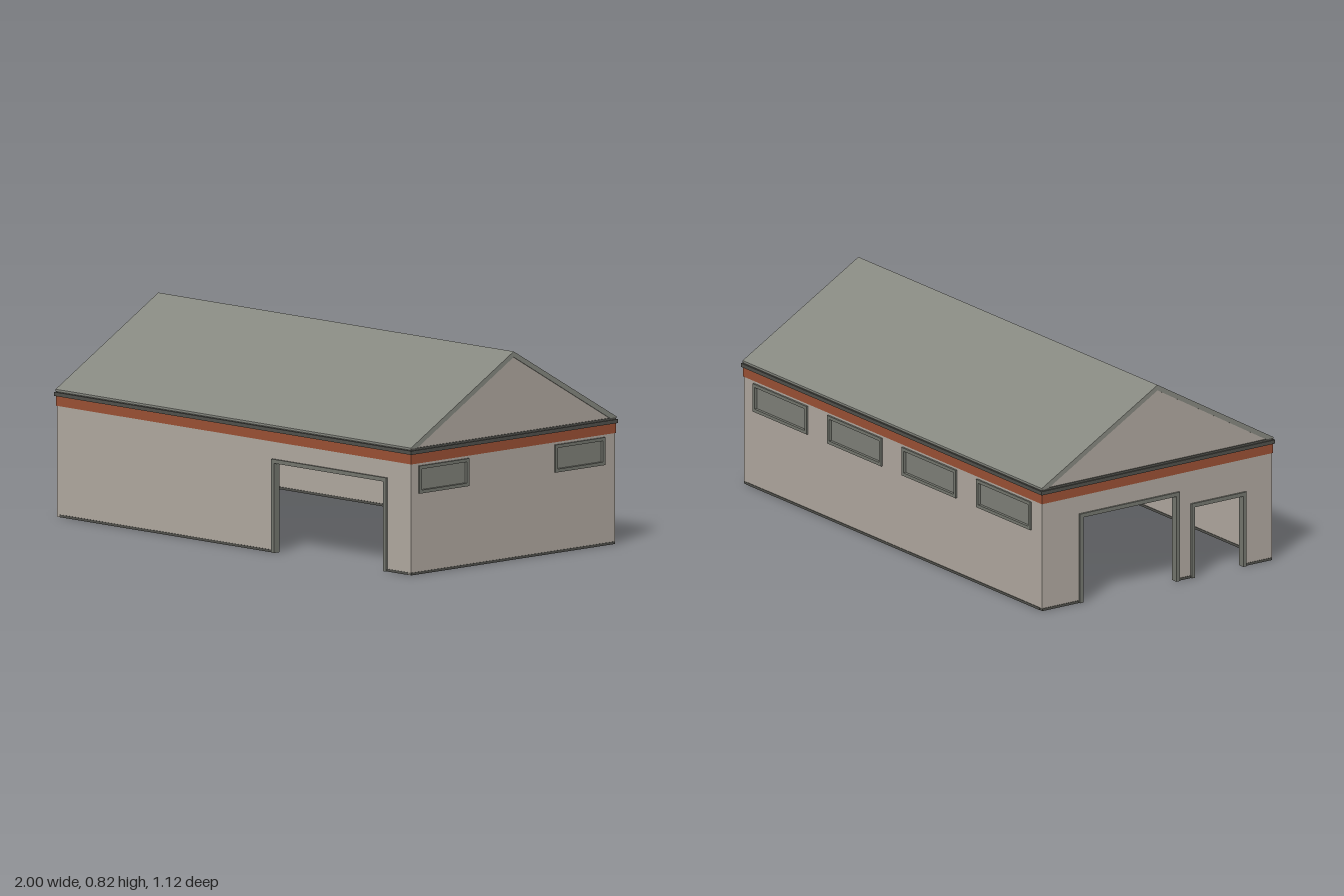
import * as THREE from 'three';

const mat = (name, color) => {
  const m = new THREE.MeshStandardMaterial({ color });
  m.name = name;
  return m;
};

const HX = 0.99, HZ = 0.55, T = 0.014;   // half length, half depth, wall thickness
const EAVE = 0.5, RIDGE = 0.82, ROOF = 0.022;

export function createModel() {
  const wallMat = mat('wall plaster', 0xb0a89f);
  const roofMat = mat('roof grey', 0x868880);
  const bandMat = mat('rust band', 0x9a5034);
  const trimMat = mat('dark trim', 0x50504b);
  const frameMat = mat('frame grey', 0x74766e);
  const paneMat = mat('window pane', 0x7e8078);

  const model = new THREE.Group();
  model.name = 'hall';

  const add = (parent, name, geometry, material, x = 0, y = 0, z = 0) => {
    const mesh = new THREE.Mesh(geometry, material);
    mesh.name = name;
    mesh.position.set(x, y, z);
    parent.add(mesh);
    return mesh;
  };
  const extrude = (shape, depth) =>
    new THREE.ExtrudeGeometry(shape, { depth, bevelEnabled: false });
  const polygon = (pts) => new THREE.Shape(pts.map(([x, y]) => new THREE.Vector2(x, y)));
  const rect = (u0, u1, y0, y1) => [[u0, y0], [u1, y0], [u1, y1], [u0, y1]];

  // One wall with doors cut from its foot and framed windows; outer face at local z = 0
  function buildSide(name, half, gable, doors, windows) {
    const side = new THREE.Group();
    side.name = name;
    const outline = [[-half, 0]];
    for (const [u0, u1, h] of doors) outline.push([u0, 0], [u0, h], [u1, h], [u1, 0]);
    outline.push([half, 0], [half, EAVE - ROOF / 2]);
    if (gable) outline.push([0, RIDGE - ROOF]);
    outline.push([-half, EAVE - ROOF / 2]);
    const shape = polygon(outline);
    for (const [u0, u1, y0, y1] of windows) {
      shape.holes.push(polygon(rect(u0, u1, y0, y1)));
    }
    add(side, 'wall', extrude(shape, T), wallMat, 0, 0, -T);

    // Foot strip between the doors
    let start = -half;
    for (const [u0, u1] of [...doors, [half, half]]) {
      add(side, 'footStrip', new THREE.BoxGeometry(u0 - start, 0.01, T + 0.004), trimMat,
        (u0 + start) / 2, 0.005, -T / 2);
      start = u1;
    }

    // Door frames
    const f = 0.014;
    for (const [u0, u1, h] of doors) {
      const frame = polygon([[u0 - f, 0], [u0 + 0.002, 0], [u0 + 0.002, h - 0.002],
        [u1 - 0.002, h - 0.002], [u1 - 0.002, 0], [u1 + f, 0], [u1 + f, h + f], [u0 - f, h + f]]);
      add(side, 'doorFrame', extrude(frame, T + 0.016), frameMat, 0, 0, -T - 0.008);
    }

    // Window frames and panes
    const w = 0.011;
    for (const [u0, u1, y0, y1] of windows) {
      const frame = polygon(rect(u0 - 0.002, u1 + 0.002, y0 - 0.002, y1 + 0.002));
      frame.holes.push(polygon(rect(u0 + w, u1 - w, y0 + w, y1 - w)));
      add(side, 'windowFrame', extrude(frame, T + 0.016), frameMat, 0, 0, -T - 0.008);
      add(side, 'windowPane', new THREE.BoxGeometry(u1 - u0, y1 - y0, 0.006), paneMat,
        (u0 + u1) / 2, (y0 + y1) / 2, -T / 2);
    }
    model.add(side);
    return side;
  }

  // Front with one wide door
  buildSide('frontWall', HX - T, false, [[0.228, 0.842, 0.355]], []).position.z = HZ;

  // Back with four windows
  const backWindows = [-0.745, -0.25, 0.245, 0.74].map((c) => [c - 0.178, c + 0.178, 0.315, 0.425]);
  const back = buildSide('backWall', HX - T, false, [], backWindows);
  back.position.z = -HZ;
  back.rotation.y = Math.PI;

  // Gable end with two windows
  const left = buildSide('windowGable', HZ, true, [],
    [[-0.51, -0.245, 0.32, 0.425], [0.225, 0.49, 0.32, 0.425]]);
  left.position.x = HX;
  left.rotation.y = Math.PI / 2;

  // Gable end with a wide and a narrow door
  const right = buildSide('doorGable', HZ, true, [[-0.36, 0.09, 0.35], [0.175, 0.41, 0.29]], []);
  right.position.x = -HX;
  right.rotation.y = -Math.PI / 2;

  // Bands running round the building, seen inside and outside
  const ring = (name, out, inset, y0, y1, material) => {
    const shape = polygon(rect(-HX - out, HX + out, -HZ - out, HZ + out));
    const ix = HX - T - inset, iz = HZ - T - inset;
    shape.holes.push(polygon(rect(-ix, ix, -iz, iz)));
    add(model, name, extrude(shape, y1 - y0), material, 0, y0, 0).rotation.x = -Math.PI / 2;
  };
  ring('rustBand', 0.003, 0.003, 0.437, 0.476, bandMat);
  ring('eaveTrim', 0.0095, 0.005, 0.476, 0.491, trimMat);
  ring('eaveLine', 0.004, 0.003, 0.491, 0.499, trimMat);

  // Pitched roof sheet
  const e = HZ + 0.005;
  const roof = polygon([[-e, EAVE - 0.004], [-e + 0.03, EAVE - 0.004], [0, RIDGE - ROOF],
    [e - 0.03, EAVE - 0.004], [e, EAVE - 0.004], [e, EAVE + 0.002], [0, RIDGE], [-e, EAVE + 0.002]]);
  const roofLength = 2 * HX + 0.008;
  add(model, 'roof', extrude(roof, roofLength), roofMat, -roofLength / 2, 0, 0).rotation.y = Math.PI / 2;

  return model;
}
